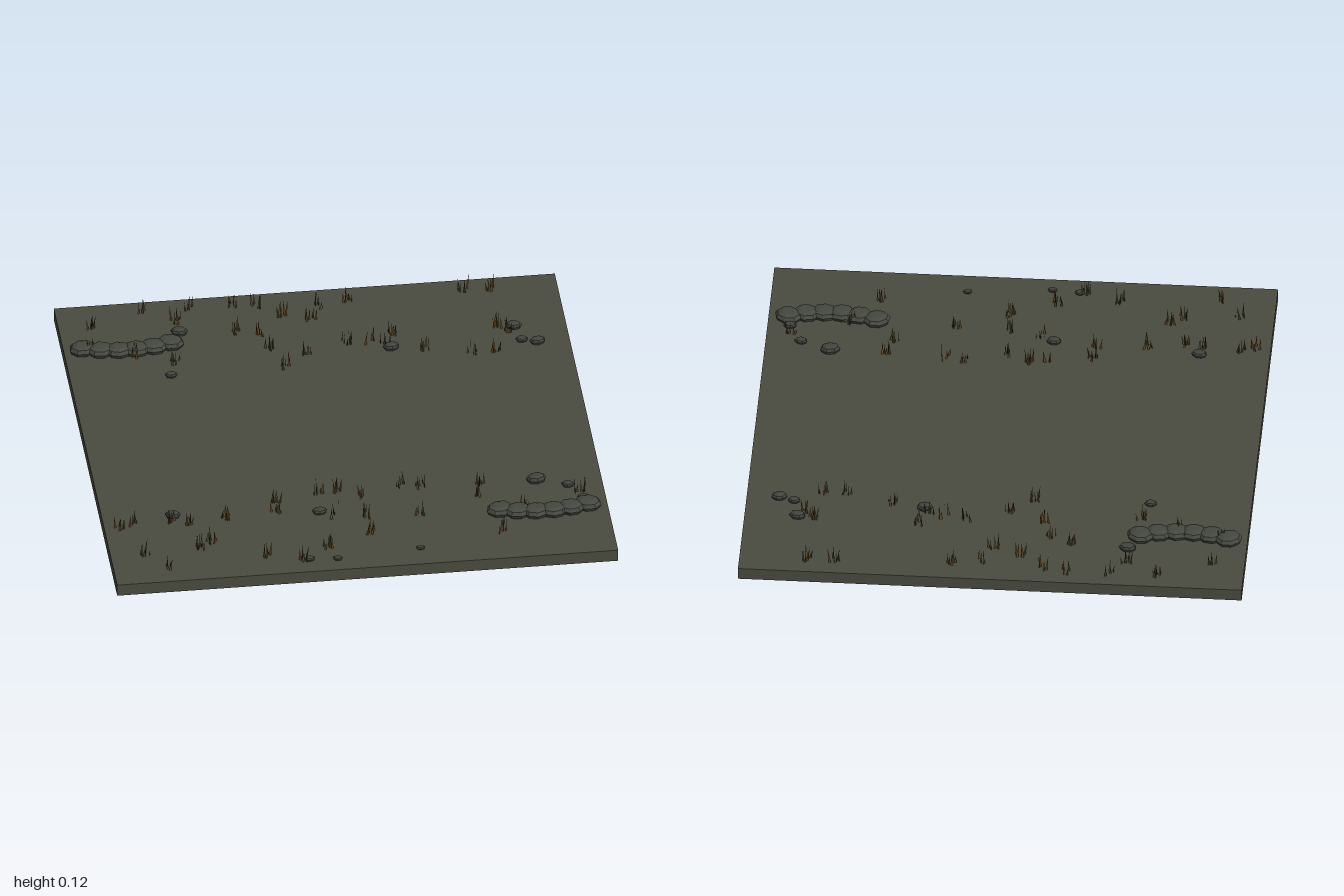
import * as THREE from 'three';
import { mergeGeometries } from 'three/addons/utils/BufferGeometryUtils.js';

const TOP = 0.05;

function mat(name, color, extra = {}) {
  const m = new THREE.MeshStandardMaterial({ color, ...extra });
  m.name = name;
  return m;
}

function seeded(seed) {
  return () => (seed = (seed * 16807) % 2147483647) / 2147483647;
}

// Low faceted mound: narrow foot, wide belly, small flat crown
function mound(sides) {
  const profile = [[0, 0], [0.85, 0], [1, 0.42], [0.82, 0.8], [0.45, 1], [0, 1]];
  return new THREE.LatheGeometry(profile.map(([r, y]) => new THREE.Vector2(r, y)), sides);
}

// One narrow upright blade, leaning within its own plane
function blade(x, z, height, width, lean, turn) {
  const g = new THREE.BufferGeometry();
  const w = width / 2;
  g.setAttribute('position', new THREE.Float32BufferAttribute([
    -w, 0, 0, w, 0, 0, lean + w * 0.15, height, 0,
  ], 3));
  g.computeVertexNormals();
  return g.rotateY(turn).translate(x, TOP, z);
}

export function createModel() {
  const model = new THREE.Group();
  model.name = 'groundTile';

  const soil = mat('soil', 0x4a4c40);
  const sack = mat('sackcloth', 0x454840, { flatShading: true });
  const rock = mat('rock', 0x42443e, { flatShading: true });
  const dryGrass = mat('dryGrass', 0x6b4a22, { side: THREE.DoubleSide });
  const darkGrass = mat('darkGrass', 0x3c3a22, { side: THREE.DoubleSide });

  function add(parent, name, geometry, material) {
    const mesh = new THREE.Mesh(geometry, material);
    mesh.name = name;
    parent.add(mesh);
    return mesh;
  }

  // Ground slab
  add(model, 'ground', new THREE.BoxGeometry(2, TOP, 2).translate(0, TOP / 2, 0), soil);

  // Two curved rows of six sandbags
  const bag = mound(8);
  for (const [name, cx, cz] of [['backSandbags', -0.75, -0.68], ['frontSandbags', 0.745, 0.67]]) {
    const row = new THREE.Group();
    row.name = name;
    for (let i = 0; i < 6; i++) {
      const t = (i - 2.5) / 2.5;
      const b = add(row, 'sandbag', bag, sack);
      b.position.set(cx + t * 0.175, TOP, cz + 0.03 * (1 - t * t));
      b.scale.set(0.056, 0.036, 0.048);
      b.rotation.y = -t * 0.3;
    }
    model.add(row);
  }

  // Scattered stones: x, z, radius
  const stones = new THREE.Group();
  stones.name = 'stones';
  const pebble = mound(7);
  [
    [-0.53, -0.76, 0.035], [-0.6, -0.46, 0.025], [0.29, -0.55, 0.033], [0.79, -0.64, 0.033],
    [0.81, -0.54, 0.025], [0.87, -0.52, 0.032], [-0.72, 0.54, 0.031], [-0.14, 0.585, 0.03],
    [0.74, 0.465, 0.041], [0.86, 0.515, 0.026], [0.91, 0.615, 0.026], [-0.22, 0.915, 0.021],
    [-0.11, 0.925, 0.019], [0.225, 0.89, 0.018],
  ].forEach(([x, z, r], i) => {
    const s = add(stones, 'stone', pebble, rock);
    s.position.set(x, TOP, z);
    s.scale.set(r, r * 0.75, r * 0.72);
    s.rotation.y = (i % 3 - 1) * 0.15;
  });
  model.add(stones);

  // Grass tufts in the front and back strips: x, z
  const tufts = {
    frontGrass: [
      [-0.88, 0.58], [-0.73, 0.58], [-0.94, 0.6], [-0.67, 0.6], [-0.51, 0.58], [-0.64, 0.78],
      [-0.59, 0.74], [-0.86, 0.8], [-0.25, 0.92], [-0.14, 0.84], [-0.31, 0.57], [-0.3, 0.48],
      [0.04, 0.75], [-0.13, 0.44], [-0.06, 0.44], [0.04, 0.49], [0.04, 0.64], [0.25, 0.65],
      [0.2, 0.44], [0.28, 0.45], [0.56, 0.82], [0.49, 0.54], [0.52, 0.46], [0.67, 0.64],
      [0.9, 0.56], [-0.38, 0.87], [-0.08, 0.62], [-0.78, 0.9],
    ],
    backGrass: [
      [-0.88, -0.85], [-0.66, -0.93], [-0.47, -0.93], [-0.3, -0.93], [-0.21, -0.91], [-0.3, -0.74],
      [-0.53, -0.84], [-0.19, -0.6], [-0.14, -0.46], [-0.11, -0.83], [0, -0.8], [0.21, -0.6],
      [0.27, -0.58], [0.31, -0.65], [0.16, -0.91], [0.6, -0.47], [0.7, -0.47], [0.72, -0.64],
      [0.76, -0.62], [0.73, -0.92], [0.62, -0.92], [-0.05, -0.55], [-0.9, -0.68], [-0.22, -0.71],
      [0.04, -0.88], [0.12, -0.61], [0.42, -0.53], [-0.72, -0.62], [-0.57, -0.55],
    ],
  };
  const rand = seeded(4217);
  for (const [name, spots] of Object.entries(tufts)) {
    const dry = [], dark = [];
    for (const [x, z] of spots) {
      for (let i = 0; i < 6; i++) {
        const bx = x + (rand() - 0.5) * 0.04, bz = z + (rand() - 0.5) * 0.04;
        const height = 0.035 + rand() * 0.04;
        const g = blade(bx, bz, height, 0.01, (rand() - 0.5) * 0.022, rand() * Math.PI);
        (i % 5 < 3 ? dry : dark).push(g);
      }
    }
    const group = new THREE.Group();
    group.name = name;
    add(group, 'dryBlades', mergeGeometries(dry), dryGrass);
    add(group, 'darkBlades', mergeGeometries(dark), darkGrass);
    model.add(group);
  }

  return model;
}
